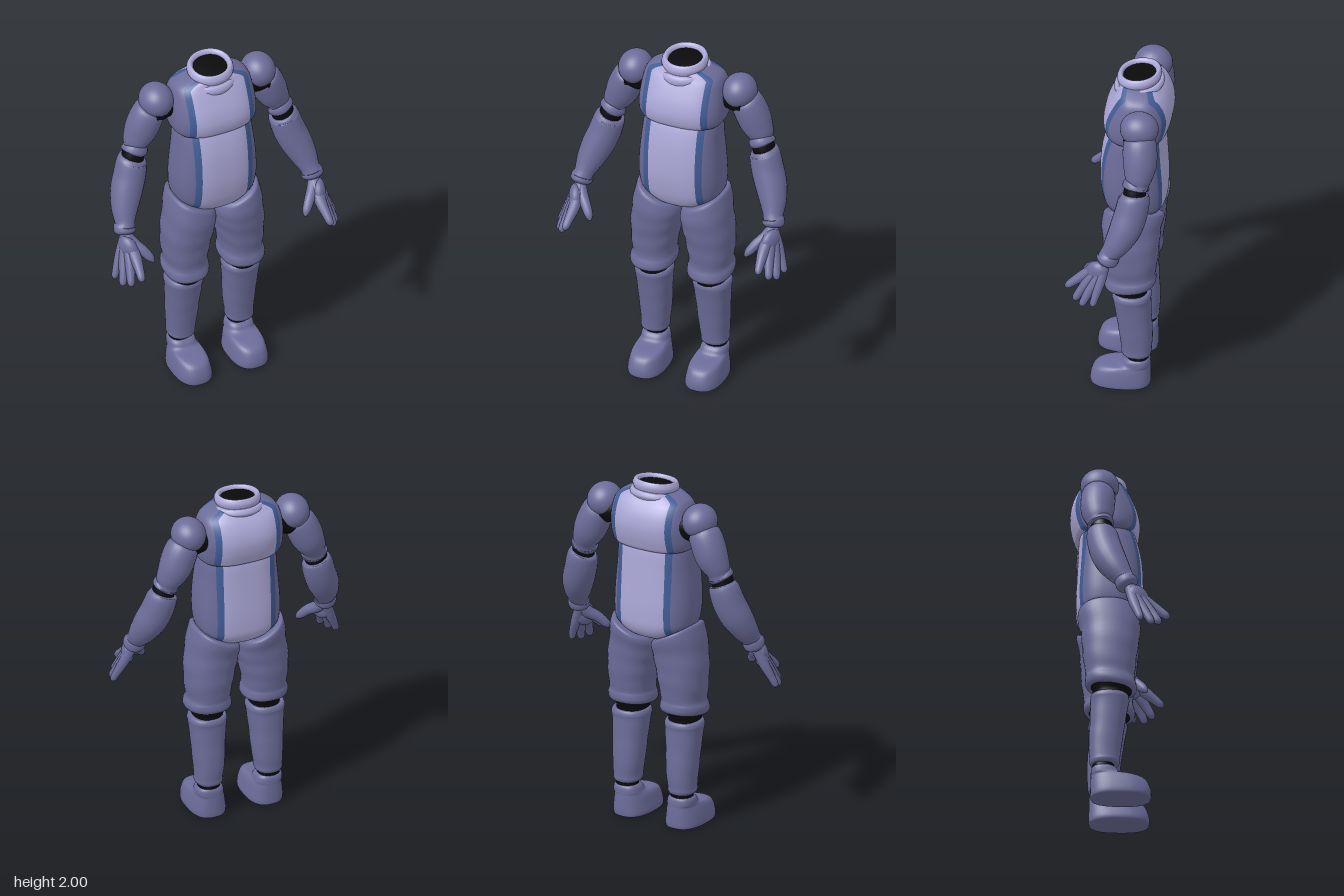
import * as THREE from 'three';

const mat = (name, color, side = THREE.FrontSide) => {
  const m = new THREE.MeshStandardMaterial({ color, side });
  m.name = name;
  return m;
};

// Catmull-Rom interpolation through rows of numbers
function smoothRows(rows, steps) {
  const out = [];
  const at = i => rows[Math.max(0, Math.min(rows.length - 1, i))];
  for (let i = 0; i < rows.length - 1; i++)
    for (let k = 0; k < steps; k++) {
      const t = k / steps, [a, b, c, d] = [at(i - 1), at(i), at(i + 1), at(i + 2)];
      out.push(b.map((v, j) => 0.5 * (2 * v + (c[j] - a[j]) * t + (2 * a[j] - 5 * v + 4 * c[j] - d[j]) * t * t
        + (3 * v - a[j] - 3 * c[j] + d[j]) * t * t * t)));
    }
  out.push(rows[rows.length - 1]);
  return out;
}

// Skins rings of points (ordered top to bottom) and closes both ends;
// bandOf gives the material index of each column
function skin(rings, bandOf = () => 0) {
  const centre = r => r.reduce((s, p) => s.add(p), new THREE.Vector3()).divideScalar(r.length);
  const last = rings[rings.length - 1], n = rings[0].length;
  const all = [rings[0].map(() => centre(rings[0])), ...rings, last.map(() => centre(last))];
  const bands = [[], [], []];
  for (let i = 0; i < all.length - 1; i++)
    for (let j = 0; j < n; j++) {
      const k = (j + 1) % n, a = i * n + j, b = i * n + k, c = a + n, d = b + n;
      bands[bandOf(j)].push(a, b, c, b, d, c);
    }
  const geo = new THREE.BufferGeometry().setFromPoints(all.flat());
  geo.setIndex(bands.flat());
  let start = 0;
  bands.forEach((b, i) => { if (b.length) geo.addGroup(start, b.length, i); start += b.length; });
  geo.computeVertexNormals();
  return geo;
}

// Upright loft. Row: [y, x0, x1, zBack, zFront, slope along x, slope along z]
function loft(rows, { n = 2.3, steps = 4, ripple = 0 } = {}) {
  const full = rows.map(r => [...r, 0, 0].slice(0, 7));
  return skin(smoothRows(full, steps).map(([y, x0, x1, z0, z1, sx, sz]) => {
    const ring = [];
    for (let j = 0; j < 36; j++) {
      const t = j / 36 * Math.PI * 2, c = Math.cos(t), s = Math.sin(t);
      const k = 1 + ripple * Math.sin(55 * y + 2 * Math.sin(t + 0.6));
      const dx = Math.sign(c) * Math.abs(c) ** (2 / n) * (x1 - x0) / 2 * k;
      const dz = Math.sign(s) * Math.abs(s) ** (2 / n) * (z1 - z0) / 2 * k;
      ring.push(new THREE.Vector3((x0 + x1) / 2 + dx, y + sx * dx + sz * dz, (z0 + z1) / 2 + dz));
    }
    return ring;
  }));
}

// Striped trunk loft. Row: [y, half width, zBack, zFront]; columns follow the panel edges
function trunk(rows, panel, stripe, n = 2.7) {
  const bands = [];
  const rings = smoothRows(rows, 4).map(([y, w, z0, z1]) => {
    const edge = (x, max) => Math.acos(Math.min(x / w, max) ** (n / 2));
    const tS = edge(stripe, 0.93), tP = edge(panel, 0.78), P = Math.PI;
    const stops = [0, tS, tP, P - tP, P - tS, P, P + tS, P + tP, 2 * P - tP, 2 * P - tS, 2 * P];
    const kinds = [0, 1, 2, 1, 0, 0, 1, 2, 1, 0], counts = [7, 2, 14];
    const ring = [];
    bands.length = 0;
    kinds.forEach((kind, b) => {
      for (let k = 0; k < counts[kind]; k++) {
        const t = stops[b] + (stops[b + 1] - stops[b]) * k / counts[kind];
        const c = Math.cos(t), s = Math.sin(t);
        bands.push(kind);
        ring.push(new THREE.Vector3(Math.sign(c) * Math.abs(c) ** (2 / n) * w, y,
          (z0 + z1) / 2 + Math.sign(s) * Math.abs(s) ** (2 / n) * (z1 - z0) / 2));
      }
    });
    return ring;
  });
  return skin(rings, j => bands[j]);
}

// Round limb along a path. Row: [x, y, z, radius]
function limb(rows, sides = 24, steps = 4) {
  const pts = smoothRows(rows, steps), ref = new THREE.Vector3(0, 0, 1);
  const pos = i => new THREE.Vector3(...pts[Math.max(0, Math.min(pts.length - 1, i))].slice(0, 3));
  return skin(pts.map((p, i) => {
    const T = pos(i + 1).sub(pos(i - 1)).normalize();
    const u = ref.clone().cross(T).normalize(), v = T.clone().cross(u);
    return Array.from({ length: sides }, (_, j) => {
      const a = j / sides * Math.PI * 2, r = Math.max(0.002, p[3]);
      return pos(i).addScaledVector(u, r * Math.cos(a)).addScaledVector(v, r * Math.sin(a));
    });
  }));
}

function mirror(geo) {
  const g = geo.clone().scale(-1, 1, 1), a = g.index.array;
  for (let i = 0; i < a.length; i += 3) [a[i], a[i + 1]] = [a[i + 1], a[i]];
  g.computeVertexNormals();
  return g;
}

export function createModel() {
  const model = new THREE.Group();
  model.name = 'headlessSuit';
  const body = mat('body violet', 0x6c6c9a), light = mat('panel lilac', 0xaca8d8);
  const blue = mat('stripe blue', 0x415c96), black = mat('joint black', 0x0a0a0a);
  const add = (name, geo, material) => {
    const mesh = new THREE.Mesh(geo, material);
    mesh.name = name;
    model.add(mesh);
  };
  const pair = (name, geo, material) => {
    add(name + 'Left', geo, material);
    add(name + 'Right', mirror(geo), material);
  };

  // Trunk: chest shell overhanging the belly
  add('chest', trunk([
    [1.94, 0.09, -0.17, 0.02], [1.925, 0.14, -0.18, 0.03], [1.9, 0.195, -0.2, 0.038], [1.87, 0.222, -0.225, 0.055],
    [1.82, 0.235, -0.25, 0.08], [1.76, 0.243, -0.262, 0.105], [1.7, 0.246, -0.256, 0.118],
    [1.65, 0.243, -0.242, 0.114], [1.618, 0.228, -0.228, 0.1], [1.605, 0.19, -0.2, 0.07]], 0.16, 0.192), [body, blue, light]);
  add('belly', trunk([
    [1.66, 0.19, -0.2, 0.07], [1.6, 0.212, -0.215, 0.1], [1.5, 0.222, -0.22, 0.125], [1.4, 0.232, -0.225, 0.135],
    [1.3, 0.238, -0.23, 0.135], [1.22, 0.236, -0.23, 0.125], [1.16, 0.22, -0.225, 0.11],
    [1.11, 0.16, -0.2, 0.085], [1.08, 0.1, -0.15, 0.04], [1.068, 0.03, -0.08, -0.02]], 0.138, 0.172), [body, blue, light]);

  // Rolled collar with a dark opening
  const collarRow = (y, r, tilt = -0.13) => [y, -r, r, -0.073 - r * 0.95, -0.073 + r * 0.95, 0.03, tilt];
  add('collar', loft([
    collarRow(1.93, 0.092), collarRow(1.965, 0.094), collarRow(1.98, 0.105), collarRow(1.978, 0.118),
    collarRow(1.955, 0.128), collarRow(1.935, 0.125), collarRow(1.925, 0.122), collarRow(1.92, 0.136),
    collarRow(1.9, 0.145), collarRow(1.88, 0.14, -0.2), collarRow(1.86, 0.13, -0.2)], { n: 2.1 }), light);
  add('neckOpening', loft([collarRow(1.958, 0.097), collarRow(1.93, 0.097)], { n: 2.1 }), black);

  // Shoulders and arms
  const ball = new THREE.SphereGeometry(1, 32, 20).scale(0.095, 0.096, 0.106).translate(0.308, 1.81, -0.11);
  pair('shoulder', ball, body);
  pair('shoulderJoint', limb([[0.2, 1.77, -0.11, 0.07], [0.27, 1.76, -0.11, 0.075], [0.34, 1.75, -0.112, 0.086]]), black);
  pair('upperArm', limb([
    [0.325, 1.775, -0.11, 0.05], [0.335, 1.755, -0.115, 0.084], [0.36, 1.71, -0.12, 0.094], [0.393, 1.63, -0.124, 0.092],
    [0.422, 1.57, -0.12, 0.077], [0.433, 1.538, -0.115, 0.065], [0.438, 1.526, -0.11, 0.073],
    [0.443, 1.51, -0.107, 0.073], [0.449, 1.497, -0.105, 0.058]]), body);
  pair('elbowJoint', limb([[0.44, 1.53, -0.108, 0.058], [0.452, 1.48, -0.103, 0.062], [0.462, 1.43, -0.1, 0.058]]), black);
  pair('forearm', limb([
    [0.45, 1.474, -0.1, 0.055], [0.453, 1.466, -0.1, 0.076], [0.461, 1.44, -0.1, 0.086], [0.483, 1.36, -0.085, 0.09],
    [0.514, 1.28, -0.06, 0.088], [0.543, 1.2, -0.02, 0.073], [0.56, 1.138, 0.02, 0.054], [0.564, 1.125, 0.025, 0.061],
    [0.568, 1.1, 0.035, 0.061], [0.57, 1.085, 0.042, 0.045]]), body);

  // Hands: palm plus fingers that start at the wrist
  const palm = new THREE.SphereGeometry(1, 24, 16).scale(0.037, 0.075, 0.062)
    .rotateX(-0.6).rotateY(-0.45).translate(0.577, 1.02, 0.093);
  pair('palm', palm, body);
  const fingers = {
    indexFinger: [[0.56, 1.0, 0.14, 0.033], [0.565, 0.95, 0.205, 0.026], [0.57, 0.915, 0.247, 0.02], [0.57, 0.902, 0.259, 0.006]],
    middleFinger: [[0.582, 0.985, 0.12, 0.032], [0.6, 0.91, 0.172, 0.025], [0.611, 0.865, 0.2, 0.02], [0.614, 0.85, 0.208, 0.006]],
    ringFinger: [[0.6, 0.98, 0.092, 0.031], [0.628, 0.895, 0.138, 0.024], [0.641, 0.85, 0.16, 0.019], [0.644, 0.836, 0.166, 0.006]],
    littleFinger: [[0.61, 0.985, 0.065, 0.029], [0.645, 0.905, 0.088, 0.022], [0.66, 0.865, 0.1, 0.018], [0.664, 0.85, 0.103, 0.006]],
    thumb: [[0.545, 1.04, 0.08, 0.034], [0.505, 1.005, 0.122, 0.029], [0.472, 0.963, 0.153, 0.023], [0.458, 0.94, 0.168, 0.007]],
  };
  for (const [name, rows] of Object.entries(fingers))
    pair(name, limb([[0.568, 1.085, 0.045, 0.03], ...rows], 14), body);

  // Legs
  pair('thigh', loft([
    [1.12, 0.06, 0.2, -0.16, 0.04, 0.5], [1.122, 0.018, 0.243, -0.217, 0.092, 0.5], [1.09, 0.003, 0.262, -0.222, 0.112, 0.45],
    [1.0, 0.008, 0.28, -0.206, 0.115, 0.25], [0.9, 0.025, 0.293, -0.2, 0.102, 0.1], [0.8, 0.04, 0.29, -0.19, 0.09],
    [0.735, 0.05, 0.284, -0.18, 0.085, 0, -0.06], [0.705, 0.043, 0.292, -0.185, 0.092, 0, -0.1],
    [0.675, 0.04, 0.293, -0.185, 0.095, 0, -0.12], [0.655, 0.055, 0.28, -0.17, 0.08, 0, -0.12],
    [0.662, 0.08, 0.255, -0.145, 0.06, 0, -0.12]], { ripple: 0.012 }), body);
  pair('kneeJoint', loft([
    [0.665, 0.07, 0.265, -0.158, 0.068, 0, -0.12], [0.652, 0.076, 0.26, -0.15, 0.066, 0, -0.12],
    [0.63, 0.085, 0.252, -0.138, 0.056], [0.59, 0.085, 0.252, -0.138, 0.05]]), black);
  pair('shin', loft([
    [0.612, 0.1, 0.243, -0.13, 0.02], [0.615, 0.075, 0.268, -0.15, 0.045], [0.592, 0.065, 0.278, -0.16, 0.055],
    [0.56, 0.069, 0.274, -0.157, 0.05], [0.45, 0.08, 0.265, -0.16, 0.032], [0.33, 0.088, 0.258, -0.166, 0.015],
    [0.24, 0.1, 0.252, -0.162, 0.004], [0.215, 0.1, 0.253, -0.161, 0.002], [0.197, 0.112, 0.242, -0.15, -0.012],
    [0.2, 0.14, 0.22, -0.12, -0.04]], { ripple: 0.007 }), body);
  pair('ankleJoint', loft([[0.22, 0.116, 0.238, -0.145, -0.028], [0.15, 0.116, 0.238, -0.145, -0.028]]), black);
  pair('boot', loft([
    [0.18, 0.13, 0.222, -0.125, -0.05], [0.18, 0.112, 0.24, -0.143, -0.025], [0.165, 0.1, 0.25, -0.153, -0.008],
    [0.138, 0.094, 0.252, -0.155, 0.015], [0.126, 0.087, 0.255, -0.155, 0.1], [0.105, 0.078, 0.262, -0.156, 0.148],
    [0.06, 0.07, 0.27, -0.157, 0.17], [0.022, 0.065, 0.273, -0.157, 0.175], [0.003, 0.07, 0.268, -0.153, 0.17],
    [0, 0.085, 0.253, -0.138, 0.155]], { n: 2.6 }), body);
  return model;
}
